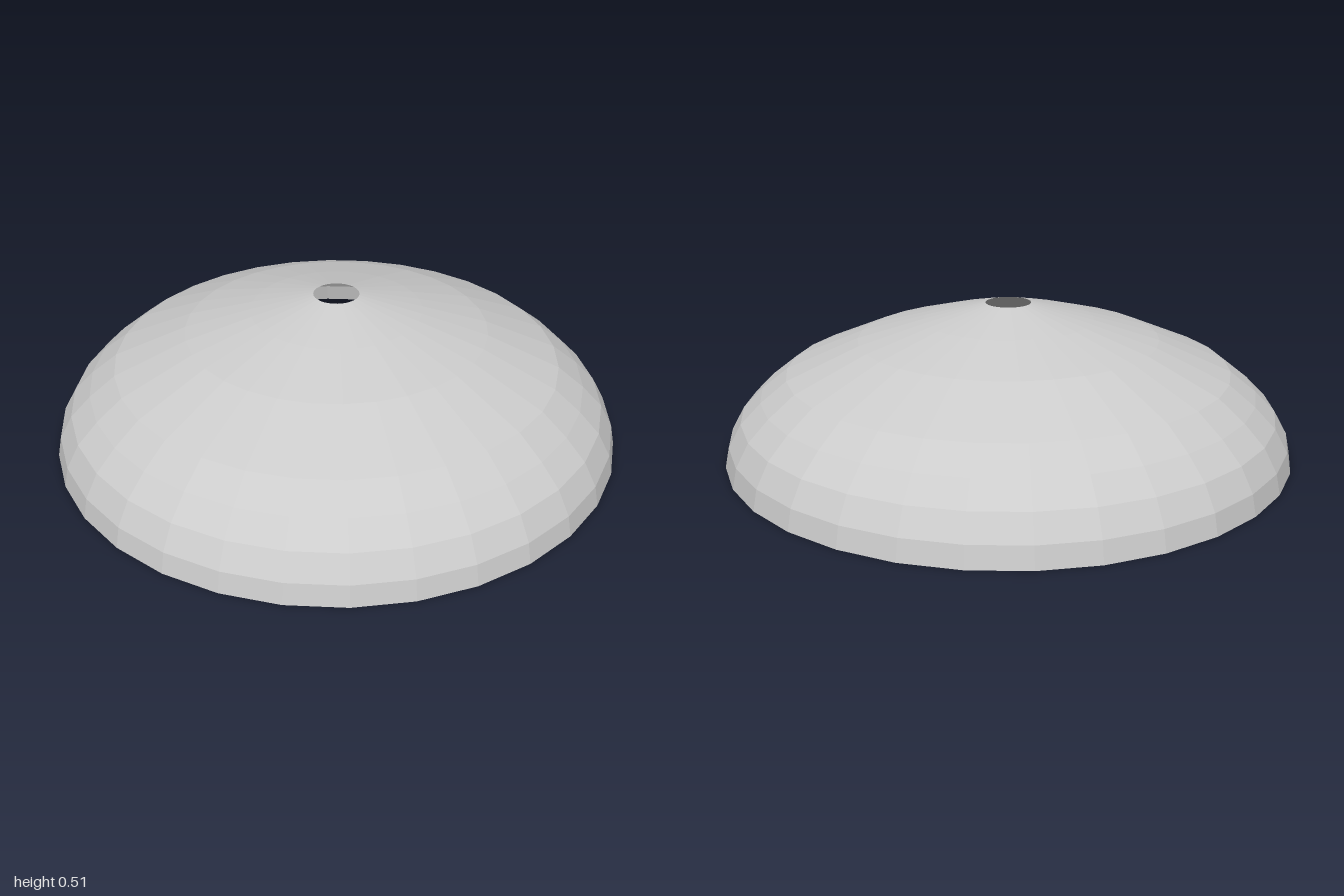
import * as THREE from 'three';

export function createModel() {
  const model = new THREE.Group();

  // Thin faceted dome: rim to the small open hole at the top
  const profile = [
    [1, 0], [0.985, 0.07], [0.94, 0.15], [0.87, 0.22],
    [0.78, 0.29], [0.53, 0.395], [0.3, 0.46], [0.08, 0.515],
  ].map(([r, y]) => new THREE.Vector2(r, y));

  const shade = new THREE.Mesh(
    new THREE.LatheGeometry(profile, 32),
    new THREE.MeshStandardMaterial({ color: 0xcccccc, flatShading: true, side: THREE.DoubleSide })
  );
  shade.name = 'domeShade';
  model.add(shade);

  return model;
}
